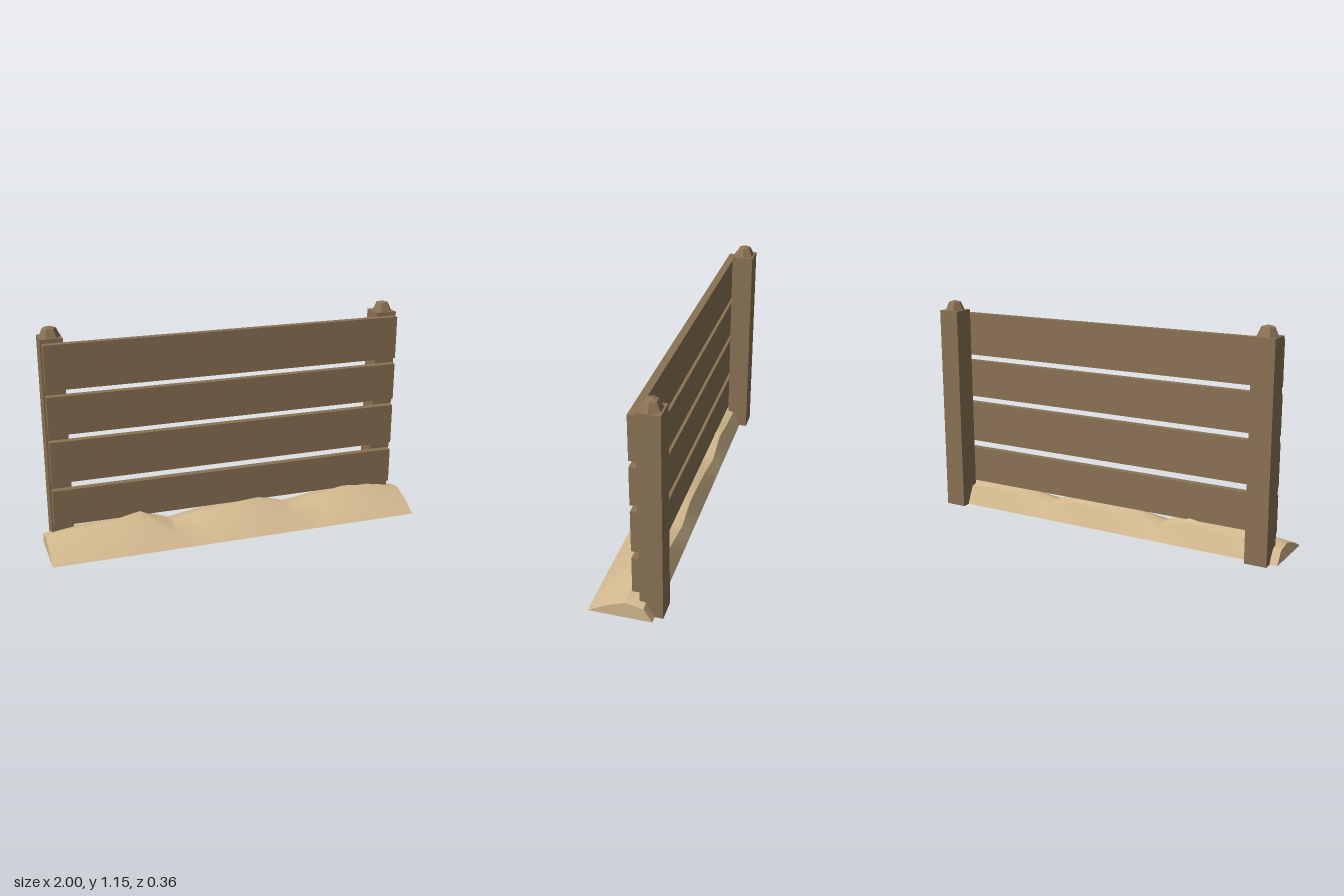
import * as THREE from 'three';
import { toCreasedNormals } from 'three/addons/utils/BufferGeometryUtils.js';

const wood = new THREE.MeshStandardMaterial({ color: 0x8b7355 });
wood.name = 'weathered wood';
const sand = new THREE.MeshStandardMaterial({ color: 0xd4ba90 });
sand.name = 'sand';

function addMesh(parent, name, geometry, material, x = 0, y = 0, z = 0) {
  const mesh = new THREE.Mesh(geometry, material);
  mesh.name = name;
  mesh.position.set(x, y, z);
  parent.add(mesh);
}

// Sand drift: one five-point cross-section per ridge height, joined along x
function driftGeometry() {
  const ridge = [0.08, 0.11, 0.117, 0.153, 0.075, 0.11, 0.128, 0.14, 0.08, 0.11, 0.14, 0.123, 0.09];
  const section = [[0.18, 0], [0.085, 0.6], [-0.01, 1], [-0.098, 0.8], [-0.14, 0]]; // z, share of ridge height
  const n = section.length;
  const last = ridge.length - 1;
  const positions = [];
  const index = [];
  ridge.forEach((h, i) => {
    for (const [z, share] of section) positions.push(-1 + (2 * i) / last, 0.002 + share * (h - 0.002), z);
  });
  for (let i = 0; i < last; i++) {
    for (let j = 0; j < n; j++) {
      const a = i * n + j;
      const b = i * n + ((j + 1) % n);
      index.push(a, a + n, b, b, a + n, b + n);
    }
  }
  // End faces
  const e = last * n;
  for (let j = 1; j < n - 1; j++) index.push(0, j, j + 1, e, e + j + 1, e + j);
  const geometry = new THREE.BufferGeometry();
  geometry.setAttribute('position', new THREE.Float32BufferAttribute(positions, 3));
  geometry.setIndex(index);
  return toCreasedNormals(geometry, 0.6);
}

export function createModel() {
  const fence = new THREE.Group();
  fence.name = 'fence';

  // Posts with six-sided domed caps
  const capProfile = [[0.055, 0], [0.034, 0.044], [0, 0.054]].map(([r, y]) => new THREE.Vector2(r, y));
  const capGeometry = toCreasedNormals(new THREE.LatheGeometry(capProfile, 6, Math.PI / 2), 0.1);
  for (const side of [-1, 1]) {
    const post = new THREE.Group();
    post.name = side > 0 ? 'leftPost' : 'rightPost';
    post.position.set(side * 0.903, 0, -0.124);
    addMesh(post, 'postShaft', new THREE.BoxGeometry(0.114, 1.1, 0.114), wood, 0, 0.55, 0);
    addMesh(post, 'postCap', capGeometry, wood, 0, 1.1, 0);
    fence.add(post);
  }

  // Horizontal planks: bottom and top of each
  [[0.125, 0.318], [0.36, 0.58], [0.616, 0.817], [0.85, 1.08]].forEach(([low, high], i) => {
    addMesh(fence, `plank${i + 1}`, new THREE.BoxGeometry(1.9, high - low, 0.038), wood, 0, (low + high) / 2, -0.048);
  });

  addMesh(fence, 'sandDrift', driftGeometry(), sand);
  return fence;
}
